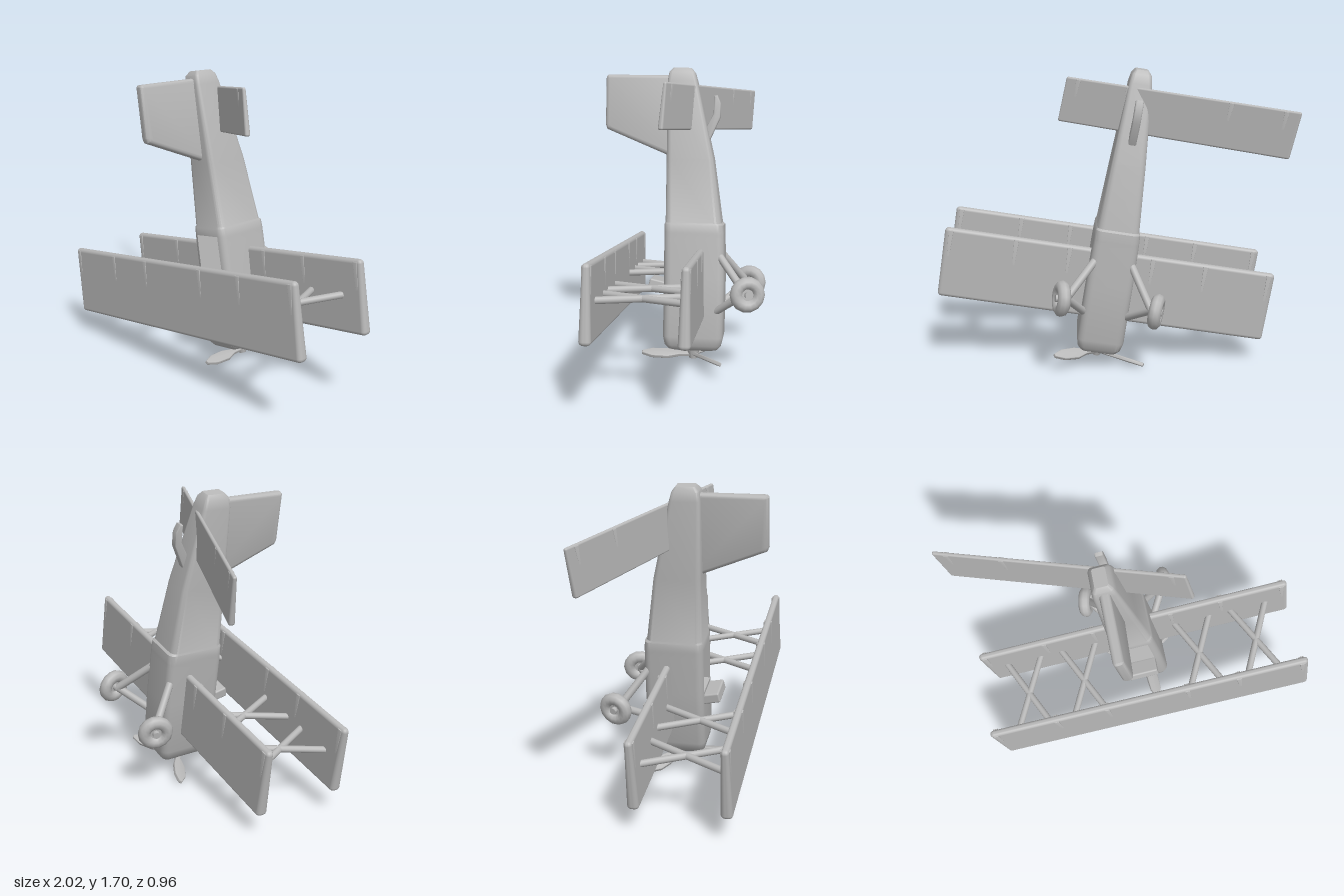
import * as THREE from 'three';
import { toCreasedNormals } from 'three/addons/utils/BufferGeometryUtils.js';
import { RoundedBoxGeometry } from 'three/addons/geometries/RoundedBoxGeometry.js';

const grey = new THREE.MeshStandardMaterial({ color: 0xb8b8b8 });
grey.name = 'plain grey';

function add(parent, name, geometry, x = 0, y = 0, z = 0) {
  const mesh = new THREE.Mesh(geometry, grey);
  mesh.name = name;
  mesh.position.set(x, y, z);
  parent.add(mesh);
  return mesh;
}

// Flat outline with softened edges, centred on its own plane
function plate(points, thickness, bevel) {
  const shape = new THREE.Shape(points.map(([x, y]) => new THREE.Vector2(x, y)));
  const depth = thickness - 2 * bevel;
  const g = new THREE.ExtrudeGeometry(shape, {
    depth, bevelThickness: bevel, bevelSize: bevel, bevelOffset: -bevel, bevelSegments: 3,
  });
  return toCreasedNormals(g.translate(0, 0, -depth / 2), 0.6);
}

// Round bar between two points
function bar(parent, name, from, to, radius) {
  const a = new THREE.Vector3(...from), b = new THREE.Vector3(...to);
  const m = add(parent, name, new THREE.CylinderGeometry(radius, radius, a.distanceTo(b), 12));
  m.position.copy(a).add(b).multiplyScalar(0.5);
  m.quaternion.setFromUnitVectors(new THREE.Vector3(0, 1, 0), b.sub(a).normalize());
}

// Wing panel thinning towards its trailing edge (+y), with wedge ribs on top
function makeWing(name, span, chord, thick, ribs) {
  const wing = new THREE.Group();
  wing.name = name;
  const g = new RoundedBoxGeometry(span, chord, thick, 4, thick * 0.42);
  const p = g.attributes.position;
  for (let i = 0; i < p.count; i++) p.setZ(i, p.getZ(i) * (1 - 0.25 * p.getY(i) / (chord / 2)));
  add(wing, name + 'Panel', g);
  const rib = plate([[-0.014, chord * 0.47], [0, -chord * 0.22], [0.014, chord * 0.47]], thick * 0.95, 0.002);
  for (const x of ribs) for (const s of [-1, 1]) add(wing, name + 'Rib', rib, s * x, 0, 0);
  return wing;
}

// Fuselage lofted through rounded-rectangle sections:
// [station, half width, bottom, top, cockpit depth]
function fuselageGeometry() {
  const sections = [
    [0.035, 0.075, -0.115, 0.11, 0], [0.045, 0.103, -0.145, 0.14, 0],
    [0.07, 0.123, -0.165, 0.16, 0], [0.12, 0.135, -0.175, 0.17, 0],
    [0.45, 0.132, -0.175, 0.17, 0], [0.45, 0.132, -0.175, 0.17, 0.17],
    [0.68, 0.128, -0.168, 0.175, 0.17], [0.71, 0.127, -0.167, 0.175, 0.12],
    [0.72, 0.127, -0.167, 0.175, 0], [0.765, 0.124, -0.163, 0.175, 0],
    [0.775, 0.118, -0.15, 0.17, 0], [1.14, 0.095, -0.095, 0.174, 0],
    [1.58, 0.064, 0.01, 0.18, 0], [1.63, 0.054, 0.025, 0.172, 0], [1.655, 0.035, 0.045, 0.15, 0],
  ];
  const N = 5, pos = [], idx = [];
  for (const [v, hw, lo, hi, dip] of sections) {
    const r = hw * 0.32, x = hw - r;
    const corners = [[x, hi - r], [-x, hi - r], [-x, lo + r], [x, lo + r]];
    corners.forEach(([cx, cz], q) => {
      for (let k = 0; k <= N; k++) {
        const t = (q + k / N) * Math.PI / 2;
        pos.push(cx + r * Math.cos(t), v, cz + r * Math.sin(t));
      }
      if (q === 0) pos.push(x, v, hi - dip, -x, v, hi - dip);
    });
  }
  const n = 4 * (N + 1) + 2, last = sections.length - 1;
  for (let i = 0; i < last; i++) for (let j = 0; j < n; j++) {
    const a = i * n + j, b = i * n + (j + 1) % n;
    idx.push(a, a + n, b + n, a, b + n, b);
  }
  for (let j = 1; j < n - 1; j++) idx.push(0, j, j + 1, last * n, last * n + j + 1, last * n + j);
  const g = new THREE.BufferGeometry();
  g.setAttribute('position', new THREE.Float32BufferAttribute(pos, 3));
  g.setIndex(idx);
  return toCreasedNormals(g, 0.6);
}

export function createModel() {
  const model = new THREE.Group();
  model.name = 'biplane';

  // Airframe stands on its nose: +y runs to the tail, +z is the top side
  const frame = new THREE.Group();
  frame.name = 'airframe';
  frame.position.set(0.085, 0.06, -0.06);
  frame.rotation.set(0, 0.049, 0.159, 'ZYX');
  model.add(frame);

  add(frame, 'fuselage', fuselageGeometry());
  const screen = add(frame, 'windshield', new RoundedBoxGeometry(0.18, 0.06, 0.13, 2, 0.01), 0, 0.405, 0.195);
  screen.rotation.x = -0.2;

  // Wings
  for (const [name, z] of [['upperWing', 0.45], ['lowerWing', -0.035]]) {
    const wing = makeWing(name, 1.9, 0.405, 0.052, [0.915, 0.545, 0.24]);
    wing.position.set(0.008, 0.426, z);
    frame.add(wing);
  }

  // Crossed struts between the wings
  for (const s of [-1, 1]) for (const c of [0.36, 0.71]) for (const d of [-0.115, 0.115])
    bar(frame, 'wingStrut', [s * c - d, 0.43, -0.03], [s * c + d, 0.43, 0.44], 0.019);

  // Fin, drawn as (height above body, station) and turned on edge
  const fin = add(frame, 'fin', plate(
    [[0.1, 1.135], [0.17, 1.155], [0.505, 1.29], [0.53, 1.3], [0.54, 1.325], [0.54, 1.6], [0.53, 1.612], [0.1, 1.615]],
    0.058, 0.022));
  fin.rotation.y = -Math.PI / 2;

  // Tail skid
  const skid = add(frame, 'tailSkid', plate(
    [[-0.06, 1.23], [-0.02, 1.27], [-0.085, 1.4], [-0.085, 1.5], [-0.105, 1.505], [-0.125, 1.46], [-0.125, 1.38]],
    0.045, 0.008));
  skid.rotation.y = -Math.PI / 2;

  // Landing gear
  for (const s of [-1, 1]) {
    for (const [v, w] of [[0.61, -0.13], [0.25, -0.1]])
      bar(frame, 'gearLeg', [s * 0.235, 0.4, -0.3], [s * 0.09, v, w], 0.022);
    const wheel = new THREE.Group();
    wheel.name = 'wheel';
    wheel.position.set(s * 0.262, 0.4, -0.313);
    wheel.rotation.y = s * (Math.PI / 2 + 0.25);
    add(wheel, 'tyre', new THREE.TorusGeometry(0.064, 0.036, 10, 14));
    add(wheel, 'wheelDisc', new THREE.CylinderGeometry(0.05, 0.05, 0.025, 14).rotateX(Math.PI / 2));
    add(wheel, 'wheelHub', new THREE.CylinderGeometry(0.02, 0.02, 0.07, 10).rotateX(Math.PI / 2));
    frame.add(wheel);
  }

  // Propeller
  const propeller = new THREE.Group();
  propeller.name = 'propeller';
  frame.add(propeller);
  add(propeller, 'hub', new THREE.CylinderGeometry(0.04, 0.022, 0.06, 10), 0, 0.005, 0);
  const blade = plate(
    [[0, -0.016], [0.08, -0.018], [0.15, -0.04], [0.24, -0.035], [0.3, -0.008], [0.3, 0.012], [0.24, 0.035], [0.15, 0.036], [0.08, 0.018], [0, 0.016]],
    0.022, 0.007).rotateX(Math.PI / 2 - 0.45);
  for (const deg of [-35, 85, 205]) add(propeller, 'blade', blade).rotation.y = -deg * Math.PI / 180;

  // Tailplane, set off-centre and twisted against the wings
  const tail = makeWing('tailplane', 1.32, 0.258, 0.026, [0.585, 0.29]);
  const along = new THREE.Vector3(1.25, 0.15, 0.385).normalize();
  const chord = new THREE.Vector3(-0.055, 0.25, -0.018).normalize();
  const normal = along.clone().cross(chord).normalize();
  const skew = new THREE.Matrix4().makeBasis(along, chord, normal);
  for (const part of tail.children) {
    part.updateMatrix();
    part.geometry = part.geometry.clone().applyMatrix4(part.matrix).applyMatrix4(skew);
    part.position.set(0, 0, 0);
  }
  tail.position.set(-0.35, 1.45, -0.11);
  model.add(tail);

  return model;
}
